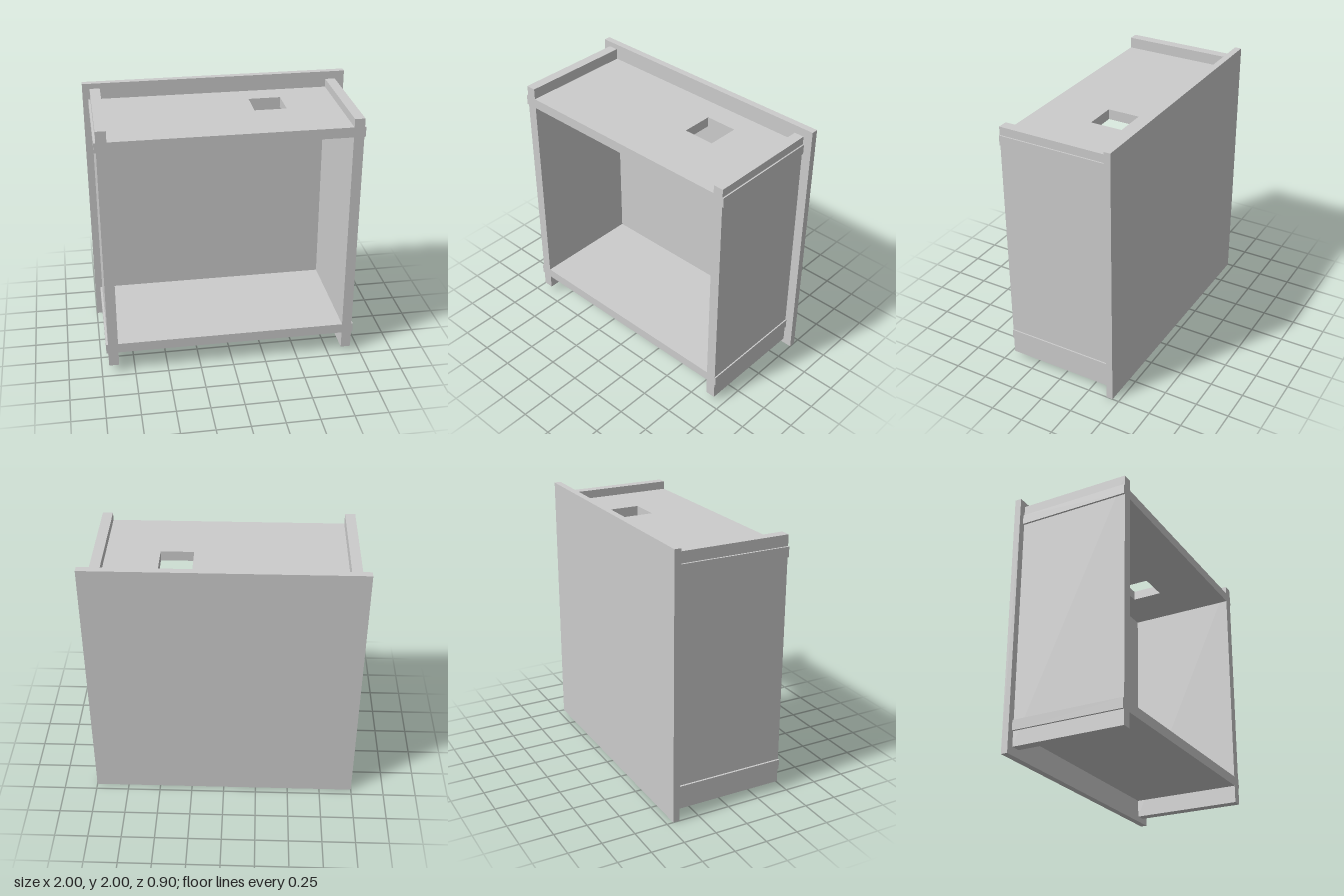
import * as THREE from 'three';

const material = new THREE.MeshStandardMaterial({ color: 0xcccccc });

// Box given by its lower and upper corners
function board(name, [x0, y0, z0], [x1, y1, z1]) {
  const mesh = new THREE.Mesh(new THREE.BoxGeometry(x1 - x0, y1 - y0, z1 - z0), material);
  mesh.position.set((x0 + x1) / 2, (y0 + y1) / 2, (z0 + z1) / 2);
  mesh.name = name;
  return mesh;
}

function rectangle(path, x0, y0, x1, y1) {
  return path.moveTo(x0, y0).lineTo(x1, y0).lineTo(x1, y1).lineTo(x0, y1).closePath();
}

export function createModel() {
  const model = new THREE.Group();
  model.name = 'cabinet';
  const back = -0.4, front = 0.45, thickness = 0.075;

  // Back panel, larger than the frame
  model.add(board('backPanel', [-1, 0, -0.45], [1, 2, back]));

  // Side panels, slightly offset in height from each other
  model.add(board('rightSide', [-0.945, 0.06, back], [-0.87, 1.96, front]));
  model.add(board('leftSide', [0.855, 0.04, back], [0.93, 1.94, front]));

  // Bottom shelf, its ends passing through the sides
  model.add(board('bottomShelf', [-0.96, 0.172, back], [0.94, 0.172 + thickness, front]));

  // Top shelf with a square cable opening
  const outline = new THREE.Shape();
  rectangle(outline, -0.96, back, 0.94, front);
  const opening = new THREE.Path();
  rectangle(opening, 0.225, -0.225, 0.465, 0.015);
  outline.holes.push(opening);
  const topGeometry = new THREE.ExtrudeGeometry(outline, { depth: thickness, bevelEnabled: false });
  topGeometry.rotateX(Math.PI / 2);
  const topShelf = new THREE.Mesh(topGeometry, material);
  topShelf.position.y = 1.878;
  topShelf.name = 'topShelf';
  model.add(topShelf);

  return model;
}
